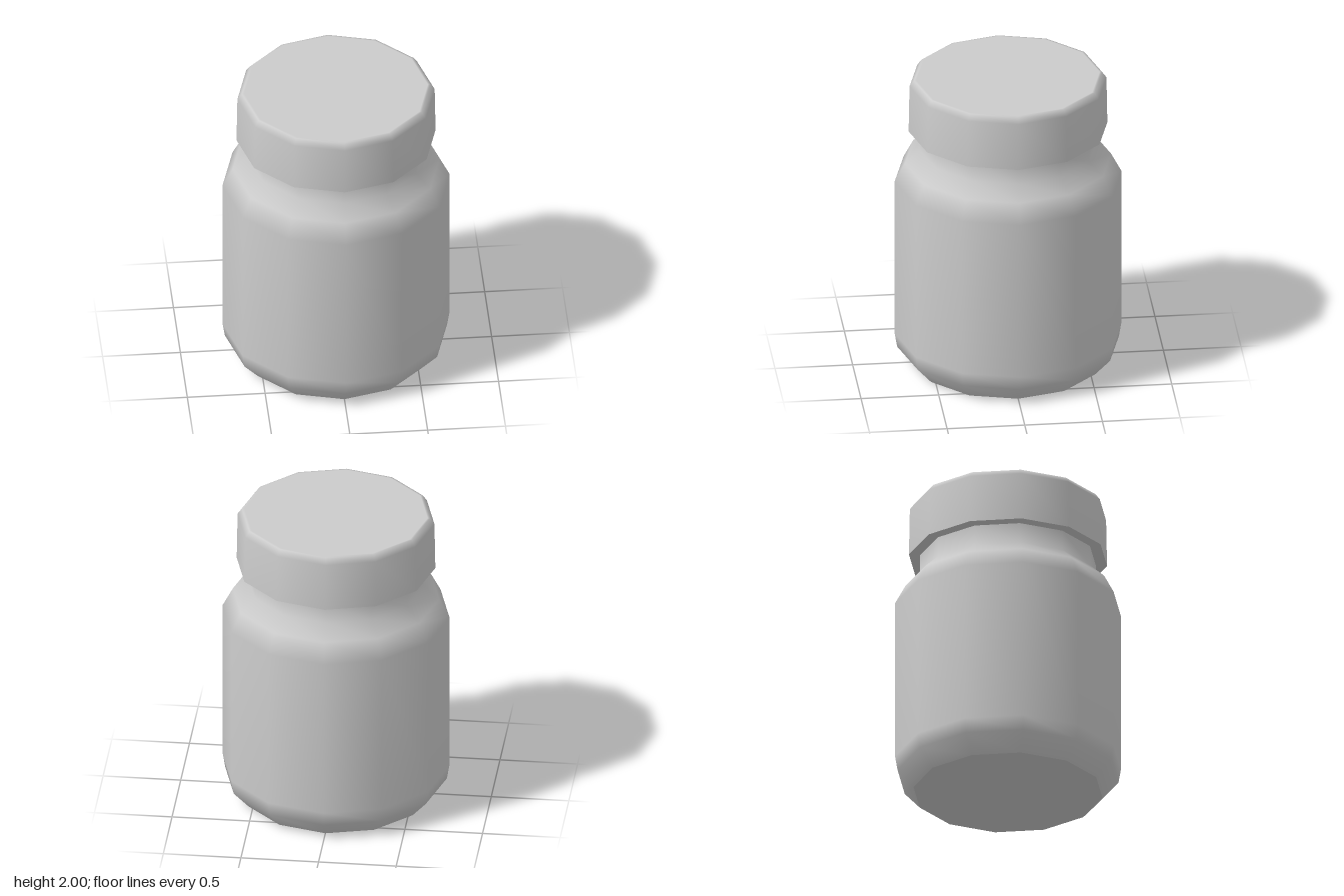
import * as THREE from 'three';

const SIDES = 12;
const material = new THREE.MeshStandardMaterial({ color: 0xcccccc });

// Each profile is smooth along its length; separate profiles meet in hard edges.
function turned(name, profiles) {
  const part = new THREE.Group();
  part.name = name;
  for (const [label, points] of Object.entries(profiles)) {
    const path = points.map(([r, y]) => new THREE.Vector2(r, y));
    const mesh = new THREE.Mesh(new THREE.LatheGeometry(path, SIDES), material);
    mesh.name = label;
    part.add(mesh);
  }
  return part;
}

export function createModel() {
  const model = new THREE.Group();
  model.name = 'jar';

  // Bottle: flat base, rounded foot, straight wall, sloping shoulder and neck
  model.add(turned('bottle', {
    base: [[0, 0], [0.61, 0]],
    wall: [
      [0.61, 0], [0.714, 0.115], [0.73, 0.21], [0.73, 1.29],
      [0.664, 1.415], [0.567, 1.505], [0.567, 1.64],
    ],
  }));

  // Lid: overhanging underside, upright rim and bevelled flat top
  model.add(turned('lid', {
    lidUnderside: [[0.5, 1.64], [0.64, 1.64]],
    lidShell: [[0.64, 1.64], [0.634, 1.96], [0.605, 2], [0.59, 2], [0, 2]],
  }));

  return model;
}
